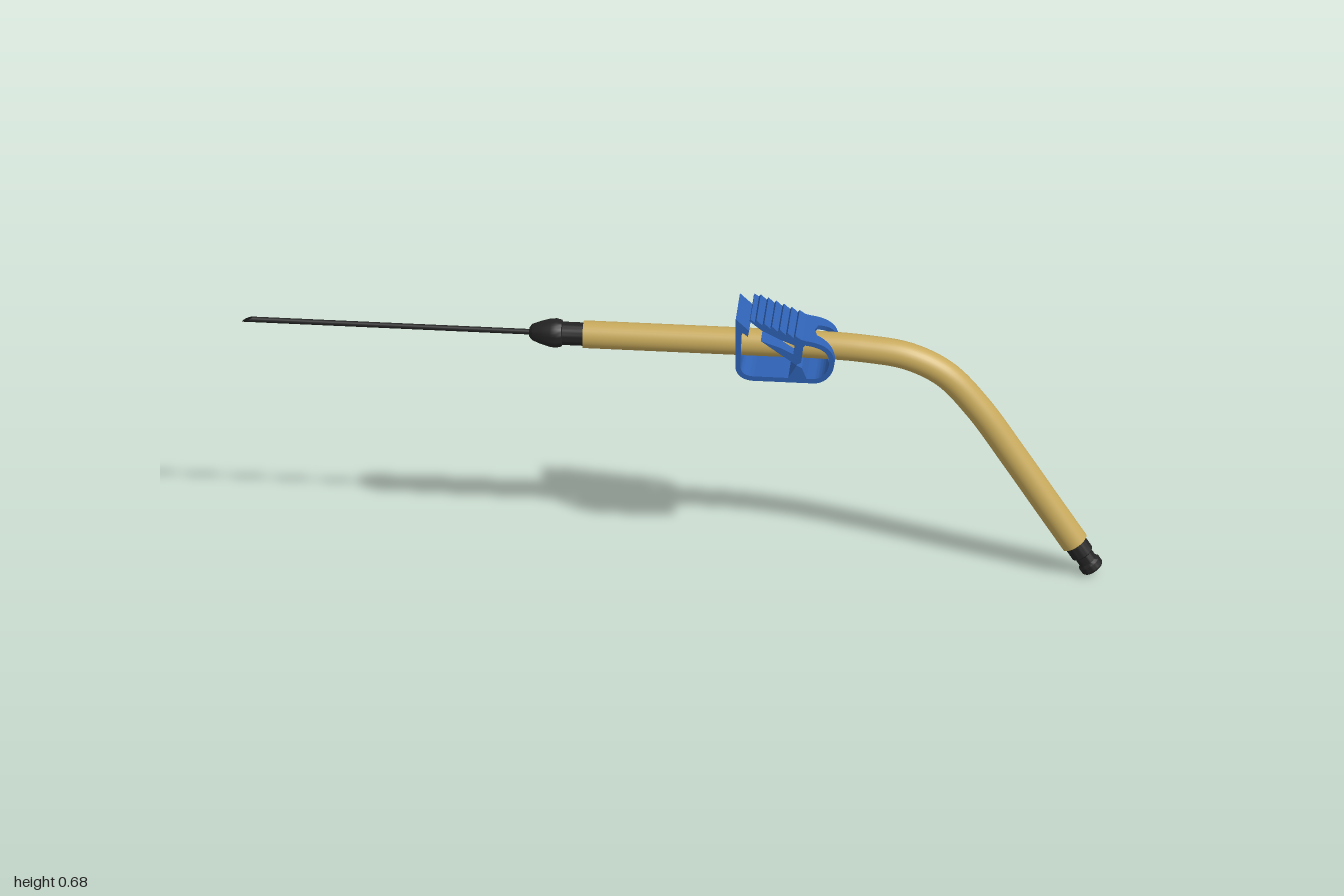
import * as THREE from 'three';
import { toCreasedNormals } from 'three/addons/utils/BufferGeometryUtils.js';

const AXIS_Y = 0.59, HALF_W = 0.058;
const mat = (color) => new THREE.MeshStandardMaterial({ color });
const v2 = (pts) => pts.map(([x, y]) => new THREE.Vector2(x, y));

function add(parent, name, geometry, material) {
  const mesh = new THREE.Mesh(geometry, material);
  mesh.name = name;
  parent.add(mesh);
  return mesh;
}

// Turned part: profile of [radius, distance along the axis]
const turned = (profile) => toCreasedNormals(new THREE.LatheGeometry(v2(profile), 32), 0.5);

// Side profile extruded across the width of the clamp
function slab(points) {
  const g = new THREE.ExtrudeGeometry(new THREE.Shape(v2(points)), { depth: HALF_W * 2, bevelEnabled: false });
  return g.translate(0, 0, -HALF_W);
}

// Bent strip, built as two mirrored halves; holeAt gives the half-width of the opening
function bentStrip(path, thickness, holeAt) {
  const pos = [];
  const quad = (a, b, c, d, flip) => {
    const q = flip ? [a, c, b, a, d, c] : [a, b, c, a, c, d];
    q.forEach((p) => pos.push(...p));
  };
  for (const s of [1, -1]) {
    const rings = path.map((p, i) => {
      const a = path[Math.max(i - 1, 0)], b = path[Math.min(i + 1, path.length - 1)];
      const t = b.clone().sub(a).normalize().multiplyScalar(thickness / 2);
      const zi = s * holeAt(p), zo = s * HALF_W;
      const l = [p.x - t.y, p.y + t.x], r = [p.x + t.y, p.y - t.x];
      return [[...r, zi], [...r, zo], [...l, zo], [...l, zi]];
    });
    for (let i = 0; i < rings.length - 1; i++) {
      const A = rings[i], B = rings[i + 1];
      for (let k = 0; k < 4; k++) {
        if (k === 3 && A[0][2] === 0 && B[0][2] === 0) continue;
        const n = (k + 1) % 4;
        quad(A[k], B[k], B[n], A[n], s < 0);
      }
    }
    quad(...rings[0], s < 0);
    quad(...rings[rings.length - 1].slice().reverse(), s < 0);
  }
  const g = new THREE.BufferGeometry();
  g.setAttribute('position', new THREE.Float32BufferAttribute(pos, 3));
  return toCreasedNormals(g, 0.6);
}

export function createModel() {
  const model = new THREE.Group();
  const tan = mat(0xc8aa5c), black = mat(0x242424), blue = mat(0x2f62b4);

  // Flexible tube, straight and then bent downwards
  const curve = new THREE.CatmullRomCurve3([
    [-0.21, 0.59], [0, 0.59], [0.2, 0.59], [0.34, 0.59], [0.44, 0.585], [0.54, 0.57],
    [0.625, 0.527], [0.7, 0.443], [0.79, 0.305], [0.86, 0.193], [0.926, 0.088],
  ].map(([x, y]) => new THREE.Vector3(x, y, 0)), false, 'centripetal');
  const tube = new THREE.Group();
  tube.name = 'tube';
  model.add(tube);
  add(tube, 'tubeWall', new THREE.TubeGeometry(curve, 90, 0.032, 32), tan);
  for (const t of [0, 1]) {
    const cap = add(tube, 'tubeEnd', new THREE.CircleGeometry(0.032, 32), tan);
    const end = curve.getPointAt(t);
    cap.position.copy(end);
    cap.lookAt(end.clone().addScaledVector(curve.getTangentAt(t), t ? 1 : -1));
  }

  // Needle with a slanted tip
  const needleGeo = new THREE.CylinderGeometry(0.0065, 0.0065, 0.68, 16).rotateZ(Math.PI / 2);
  needleGeo.translate(-0.66, AXIS_Y, 0);
  const p = needleGeo.attributes.position;
  for (let i = 0; i < p.count; i++) {
    if (p.getX(i) < -0.9) p.setX(i, -0.9875 + (p.getY(i) - AXIS_Y) * 1.9);
  }
  add(model, 'needle', needleGeo, black);

  // Needle hub
  const hub = add(model, 'needleHub', turned([
    [0, -0.03], [0.027, -0.03], [0.027, 0.048], [0.031, 0.05], [0.034, 0.062],
    [0.033, 0.076], [0.026, 0.1], [0.019, 0.118], [0.011, 0.125], [0, 0.125],
  ]), black);
  hub.rotation.z = Math.PI / 2;
  hub.position.set(-0.21, AXIS_Y, 0);

  // End connector with a groove and flange
  const connector = add(model, 'endConnector', turned([
    [0, -0.02], [0.027, -0.02], [0.027, 0.033], [0.022, 0.037], [0.022, 0.056],
    [0.027, 0.062], [0.027, 0.076], [0.024, 0.08], [0.017, 0.08], [0.015, 0.07], [0, 0.07],
  ]), black);
  connector.position.copy(curve.getPointAt(1));
  connector.quaternion.setFromUnitVectors(new THREE.Vector3(0, 1, 0), curve.getTangentAt(1));

  // Pinch clamp around the tube
  const clamp = new THREE.Group();
  clamp.name = 'pinchClamp';
  model.add(clamp);
  const outline = new THREE.Path();
  outline.moveTo(0.152, 0.64);
  outline.lineTo(0.152, 0.56);
  outline.quadraticCurveTo(0.152, 0.526, 0.19, 0.526);
  outline.lineTo(0.325, 0.526);
  outline.bezierCurveTo(0.352, 0.526, 0.369, 0.552, 0.369, 0.578);
  outline.bezierCurveTo(0.369, 0.607, 0.35, 0.622, 0.31, 0.627);
  outline.lineTo(0.29, 0.632);
  // Straight runs are subdivided so the tube openings stay round
  const path = [];
  outline.curves.forEach((c) => c.getPoints(16).forEach((q, i) => {
    if (i || !path.length) path.push(q);
  }));
  const hole = (q) => 0.039 * Math.sqrt(Math.max(0, 1 - ((q.y - AXIS_Y) / 0.04) ** 2));
  add(clamp, 'clampBand', bentStrip(path, 0.012, (q) =>
    (q.x < 0.17 || q.x > 0.325 ? hole(q) : 0)), blue);
  add(clamp, 'clampLatch', slab([
    [0.146, 0.632], [0.158, 0.632], [0.163, 0.648], [0.175, 0.638], [0.178, 0.654], [0.147, 0.684],
  ]), blue);

  // Thumb lever with stepped grip ribs
  const lever = [[0.3, 0.613], [0.315, 0.63], [0.297, 0.637]];
  for (let i = 0; i < 6; i++) {
    const x = 0.285 - i * 0.018, y = 0.643 + i * 0.0075;
    lever.push([x, y + 0.003], [x - 0.004, y - 0.003]);
  }
  lever.push([0.181, 0.685], [0.179, 0.68], [0.205, 0.658], [0.25, 0.634]);
  add(clamp, 'thumbLever', slab(lever), blue);

  // Opposing jaws that pinch the tube
  add(clamp, 'upperJaw', slab([
    [0.205, 0.628], [0.245, 0.598], [0.286, 0.568], [0.298, 0.574], [0.303, 0.618], [0.285, 0.625],
    [0.28, 0.596], [0.25, 0.612],
  ]), blue);
  add(clamp, 'lowerJaw', slab([[0.266, 0.528], [0.312, 0.528], [0.3, 0.56], [0.288, 0.566]]), blue);

  return model;
}
